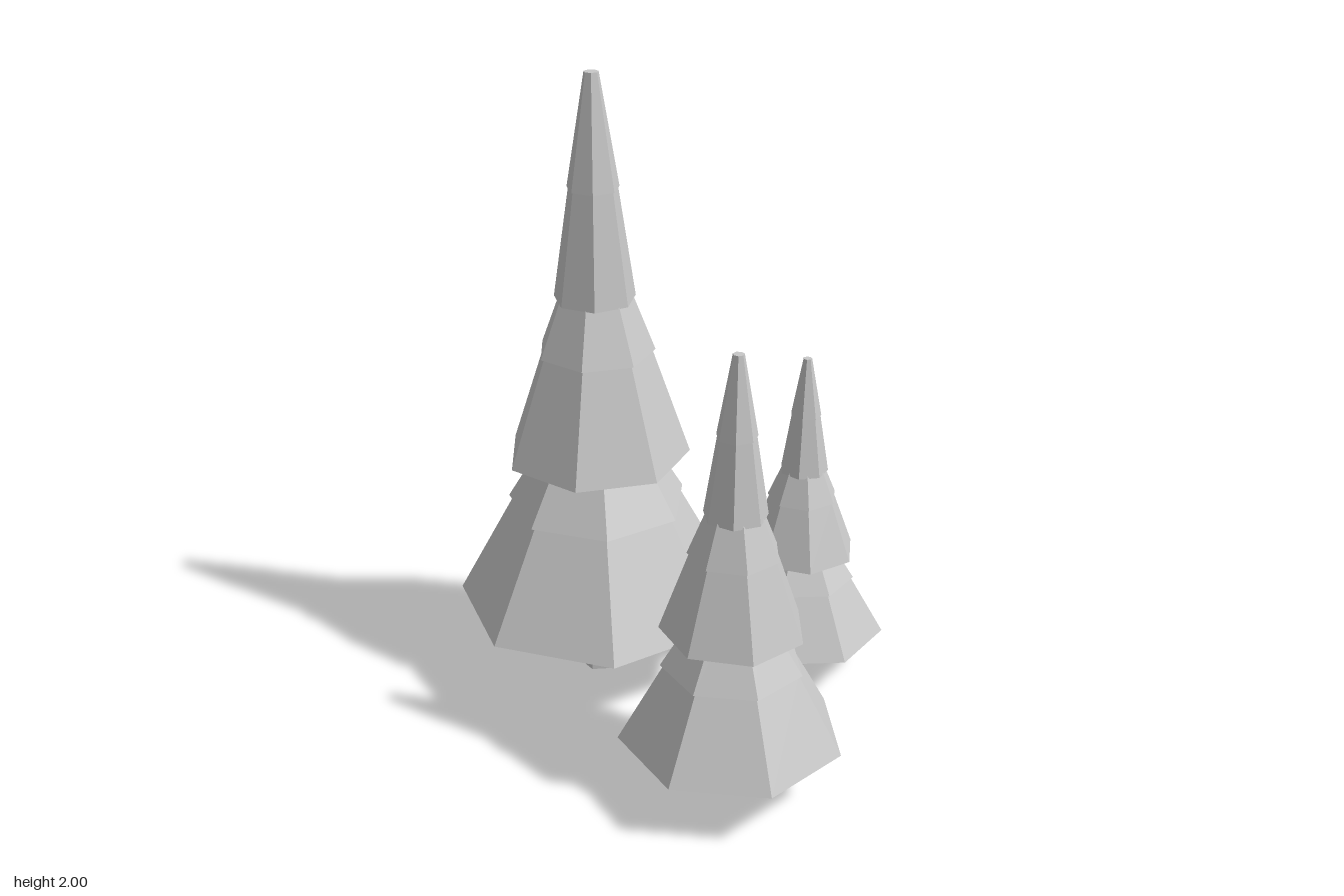
import * as THREE from 'three';

const SIDES = 7;

// One pale grey for the whole grove
const grey = new THREE.MeshStandardMaterial({ color: 0xc8c8c8 });
grey.name = 'paleGrey';
grey.flatShading = true;

// Frustum standing on y, with its first corner turned by `turn` degrees from +x towards +z
function frustum(name, bottomR, topR, y, height, sides, turn) {
  const start = THREE.MathUtils.degToRad(90 - turn);
  const geometry = new THREE.CylinderGeometry(topR, bottomR, height, sides, 1, false, start);
  const mesh = new THREE.Mesh(geometry, grey);
  mesh.name = name;
  mesh.position.y = y + height / 2;
  return mesh;
}

// Conifer: hexagonal trunk and three overlapping tiers, each a skirt with a steeper cap
function createTree({ name, x, z, height, radius, trunk, turns }) {
  const tree = new THREE.Group();
  tree.name = name;
  tree.position.set(x, 0, z);
  tree.add(frustum('trunk', trunk, trunk, 0, height * 0.16, 6, 90));

  const half = height * 0.175;
  [1, 0.64, 0.28].forEach((scale, i) => {
    const r = radius * scale;
    const y = height * (0.13 + 0.26 * i);
    const tier = new THREE.Group();
    tier.name = ['lowerBranches', 'middleBranches', 'topBranches'][i];
    tier.add(
      frustum('skirt', r, r * 0.595, y, half, SIDES, turns[i]),
      frustum('cap', r * 0.63, r * 0.175, y + half, half, SIDES, turns[i])
    );
    tree.add(tier);
  });
  return tree;
}

export function createModel() {
  const grove = new THREE.Group();
  grove.name = 'pineGrove';
  const trees = [
    { name: 'tallTree', x: -0.28, z: -0.13, height: 2, radius: 0.46, trunk: 0.065, turns: [7.2, 25.7, 12.9] },
    { name: 'middleTree', x: 0.37, z: 0.32, height: 1.4, radius: 0.338, trunk: 0.046, turns: [-3.2, 1.5, 20] },
    { name: 'smallTree', x: 0.32, z: -0.4, height: 1.1, radius: 0.278, trunk: 0.04, turns: [-14.4, 8.5, 30] },
  ];
  trees.forEach((t) => grove.add(createTree(t)));
  return grove;
}
